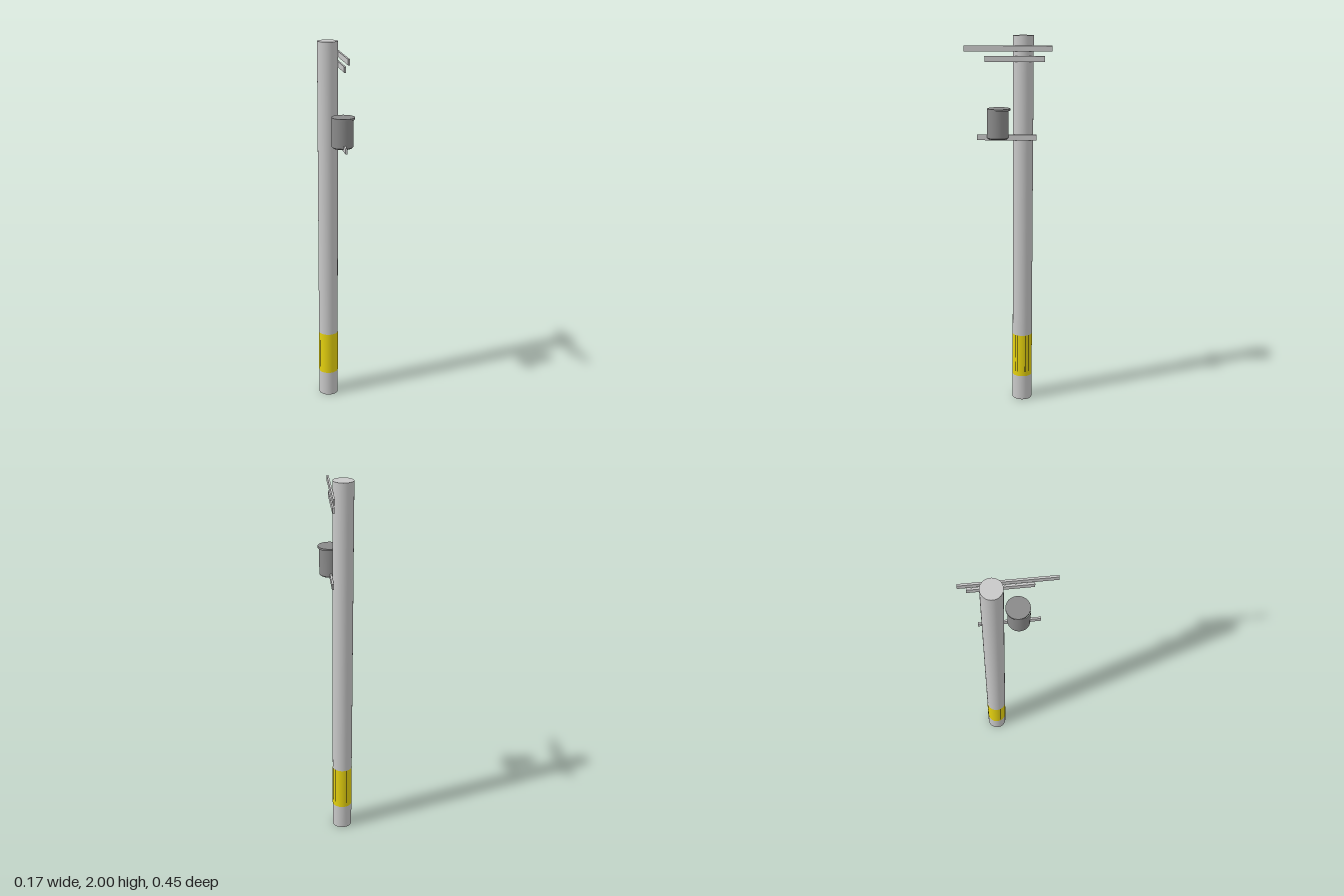
import * as THREE from 'three';

const mat = (name, color) => {
  const m = new THREE.MeshStandardMaterial({ color });
  m.name = name;
  return m;
};

export function createModel() {
  const concrete = mat('concrete grey', 0xc8c8c8);
  const steel = mat('dark grey', 0x8a8a8a);
  const yellow = mat('warning yellow', 0xe6d20f);
  const black = mat('stripe black', 0x0a0a0a);
  const model = new THREE.Group();
  model.name = 'utilityPole';

  const add = (name, geometry, material, x, y, z, parent = model) => {
    const mesh = new THREE.Mesh(geometry, material);
    mesh.name = name;
    mesh.position.set(x, y, z);
    parent.add(mesh);
    return mesh;
  };

  // Round pole
  const px = -0.035, pz = -0.078, r = 0.053;
  add('pole', new THREE.CylinderGeometry(r, r, 2, 48), concrete, px, 1, pz);

  // Painted warning band with narrow upright stripes
  add('warningBand', new THREE.CylinderGeometry(r + 0.0005, r + 0.0005, 0.24, 48, 1, true), yellow, px, 0.26, pz);
  const stripes = new THREE.Group();
  stripes.name = 'bandStripes';
  model.add(stripes);
  for (const deg of [48, 65, 109, 130, 200, 290]) {
    const arc = THREE.MathUtils.degToRad(4);
    const start = THREE.MathUtils.degToRad(deg) - arc / 2;
    add('stripe', new THREE.CylinderGeometry(r + 0.001, r + 0.001, 0.215, 2, 1, true, start, arc),
      black, px, 0.2725, pz, stripes);
  }

  // Crossarms: [name, centre y, z from, z to]
  for (const [name, y, z0, z1] of [
    ['upperCrossarm', 1.935, -0.227, 0.226],
    ['lowerCrossarm', 1.883, -0.188, 0.12],
    ['transformerArm', 1.481, -0.148, 0.16],
  ]) {
    add(name, new THREE.BoxGeometry(0.01, 0.029, z1 - z0), concrete, 0.021, y, (z0 + z1) / 2);
  }

  // Transformer can with a chamfered base and an overhanging lid
  const transformer = new THREE.Group();
  transformer.name = 'transformer';
  model.add(transformer);
  const can = [[0, 0], [0.05, 0], [0.05, 0], [0.056, 0.006], [0.056, 0.006], [0.056, 0.15]]
    .map(([x, y]) => new THREE.Vector2(x, y));
  add('can', new THREE.LatheGeometry(can, 32), steel, 0.021, 1.474, 0.052, transformer);
  add('lid', new THREE.CylinderGeometry(0.06, 0.06, 0.01, 32), steel, 0.025, 1.627, 0.047, transformer);

  return model;
}
